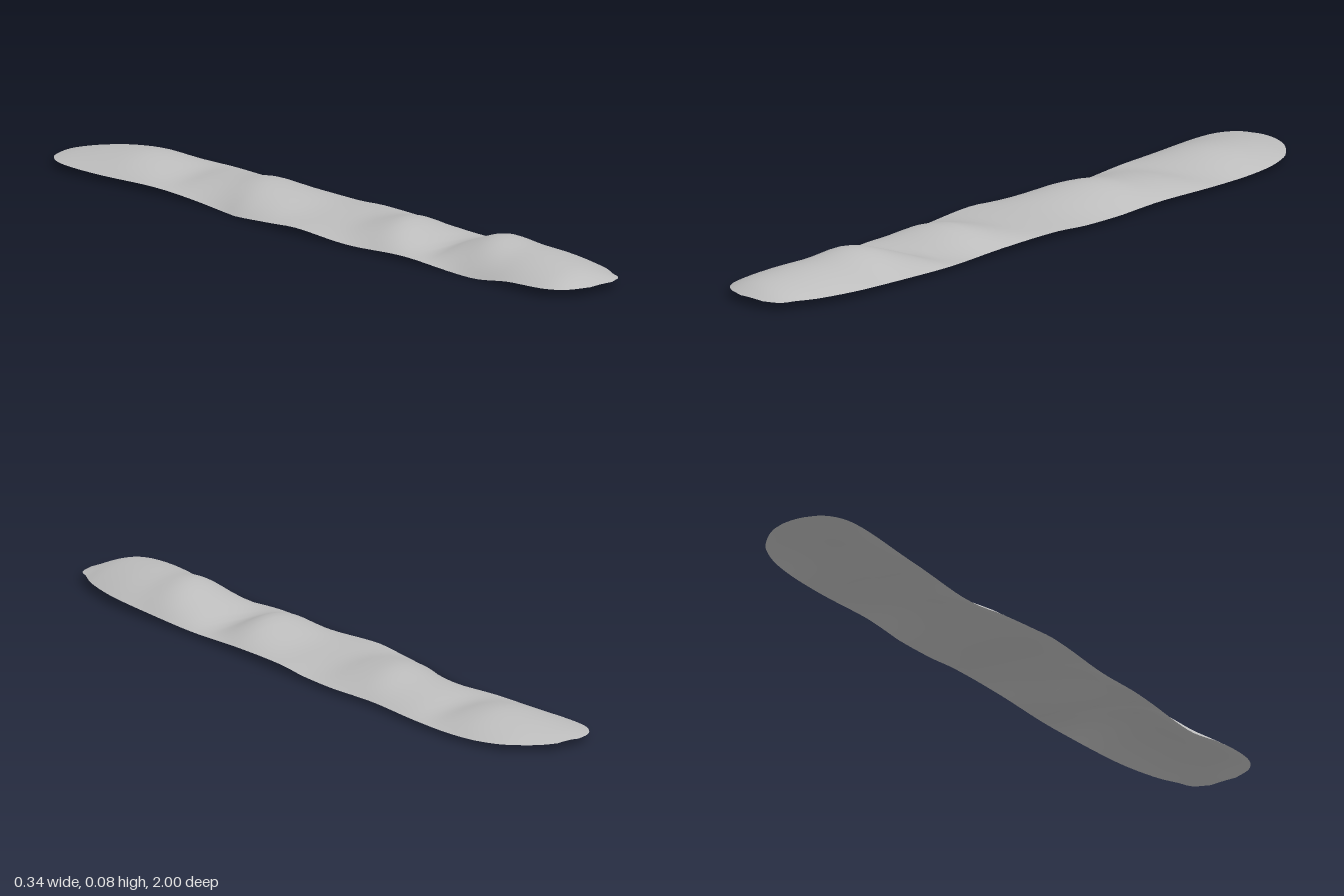
import * as THREE from 'three';

// Edge outline along the strip: [z, right edge x, left edge x]
const OUTLINE = [
  [-1, -0.07, 0.0], [-0.985, -0.11, 0.04], [-0.95, -0.142, 0.085], [-0.9, -0.158, 0.125],
  [-0.8, -0.16, 0.155], [-0.6, -0.145, 0.165], [-0.4, -0.14, 0.155], [-0.3, -0.15, 0.16],
  [-0.23, -0.165, 0.165], [0.1, -0.17, 0.153], [0.3, -0.16, 0.15], [0.5, -0.155, 0.152],
  [0.65, -0.15, 0.153], [0.77, -0.153, 0.145], [0.88, -0.153, 0.12], [0.94, -0.14, 0.092],
  [0.98, -0.105, 0.072], [1, -0.05, 0.03],
];
// Heights of the two edges: [z, right edge y, left edge y]
const EDGES = [
  [-1, 0.022, 0.022], [-0.75, 0.018, 0.015], [-0.55, 0.018, 0.016], [-0.3, 0.004, 0.016],
  [-0.1, 0.014, 0.016], [0, 0.02, 0.022], [0.2, 0.009, 0.02], [0.4, 0.015, 0.014],
  [0.65, 0.002, 0.022], [0.8, 0.02, 0.025], [1, 0.025, 0.025],
];
// Height of the wavy crest: [z, y]
const CREST = [
  [-1, 0.024], [-0.95, 0.035], [-0.85, 0.05], [-0.75, 0.058], [-0.68, 0.05], [-0.58, 0.028],
  [-0.5, 0.038], [-0.4, 0.05], [-0.3, 0.065], [-0.2, 0.053], [-0.1, 0.033], [0, 0.029],
  [0.1, 0.033], [0.2, 0.056], [0.25, 0.065], [0.3, 0.055], [0.36, 0.028], [0.41, 0.018],
  [0.5, 0.052], [0.6, 0.083], [0.7, 0.074], [0.8, 0.07], [0.9, 0.06], [0.95, 0.048], [1, 0.026],
];

// Smooth interpolation of column k of a station table
function sample(table, z, k) {
  const last = table.length - 1;
  z = THREE.MathUtils.clamp(z, -1, 1);
  let i = 0;
  while (i < last - 1 && z > table[i + 1][0]) i++;
  const slope = (n) => {
    const a = table[Math.max(n - 1, 0)], b = table[Math.min(n + 1, last)];
    return (b[k] - a[k]) / (b[0] - a[0]);
  };
  const p = table[i], q = table[i + 1], h = q[0] - p[0], t = (z - p[0]) / h;
  const t2 = t * t, t3 = t2 * t;
  return (2 * t3 - 3 * t2 + 1) * p[k] + (t3 - 2 * t2 + t) * h * slope(i)
    + (3 * t2 - 2 * t3) * q[k] + (t3 - t2) * h * slope(i + 1);
}

// Thin arched sheet, swept as cross-sections along z
function stripGeometry(rows, cols) {
  const pos = [], index = [];
  for (let i = 0; i <= rows; i++) {
    const z = Math.sin((i / rows - 0.5) * Math.PI);
    const xr = sample(OUTLINE, z, 1), xl = sample(OUTLINE, z, 2);
    const yr = sample(EDGES, z, 1), yl = sample(EDGES, z, 2);
    for (let j = 0; j <= cols; j++) {
      const t = j / cols, u = 2 * t - 1;
      const x = THREE.MathUtils.lerp(xr, xl, t);
      const base = THREE.MathUtils.lerp(yr, yl, t);
      // the waves run slightly diagonally, fading out at the ends
      const crest = sample(CREST, z + 0.3 * x * (1 - z ** 4), 1);
      pos.push(x, base + (crest - base) * (1 - u * u), z);
      if (i < rows && j < cols) {
        const a = i * (cols + 1) + j, b = a + cols + 1;
        index.push(a, b, a + 1, b, b + 1, a + 1);
      }
    }
  }
  const geometry = new THREE.BufferGeometry();
  geometry.setAttribute('position', new THREE.Float32BufferAttribute(pos, 3));
  geometry.setIndex(index);
  geometry.computeVertexNormals();
  return geometry;
}

export function createModel() {
  const group = new THREE.Group();
  group.name = 'wavyStrip';
  const grey = new THREE.MeshStandardMaterial({ color: 0xbcbcbc, side: THREE.DoubleSide });
  grey.name = 'plain grey';
  const strip = new THREE.Mesh(stripGeometry(90, 18), grey);
  strip.name = 'strip';
  group.add(strip);
  return group;
}
